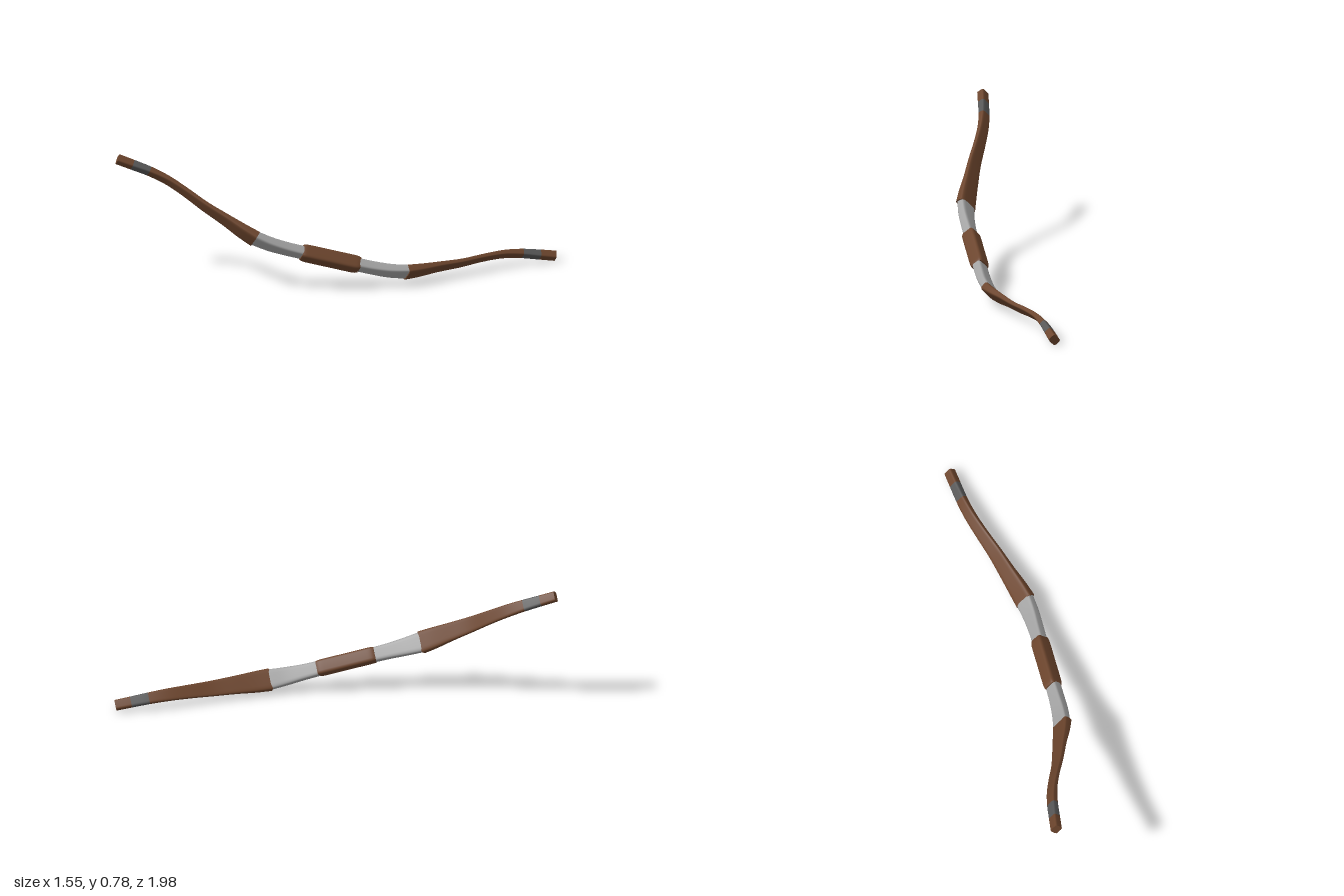
import * as THREE from 'three';

const mat = (name, color) => Object.assign(new THREE.MeshStandardMaterial({ color }), { name });

// Half profiles, mirrored about the grip: [distance along bow, depth, width, thickness]
const LIMB = [
  [0.44, 0.298, 0.125, 0.054], [0.52, 0.267, 0.118, 0.046], [0.62, 0.223, 0.103, 0.034],
  [0.75, 0.168, 0.088, 0.027], [0.87, 0.108, 0.077, 0.027], [0.98, 0.060, 0.070, 0.031],
  [1.08, 0.032, 0.064, 0.038], [1.18, 0.015, 0.059, 0.044], [1.278, 0.0, 0.056, 0.047],
];
const RISER = [
  [0.15, 0.317, 0.080, 0.058], [0.25, 0.316, 0.086, 0.056],
  [0.35, 0.310, 0.100, 0.053], [0.45, 0.293, 0.115, 0.048],
];
const GRIP = [[0, 0.317, 0.086, 0.084], [0.13, 0.317, 0.086, 0.084], [0.155, 0.317, 0.084, 0.08], [0.168, 0.317, 0.078, 0.072]];

// Smooth interpolation of a profile at distance u
function sample(keys, u) {
  const n = keys.length - 1;
  let i = 0;
  while (i < n - 1 && u > keys[i + 1][0]) i++;
  const a = keys[i], b = keys[i + 1], h = b[0] - a[0], t = (u - a[0]) / h;
  const slope = (k, c) => {
    const p = keys[Math.max(k - 1, 0)], q = keys[Math.min(k + 1, n)];
    return (q[c] - p[c]) / (q[0] - p[0]);
  };
  return [1, 2, 3].map((c) =>
    a[c] * (2 * t ** 3 - 3 * t * t + 1) + b[c] * (3 * t * t - 2 * t ** 3) +
    h * (slope(i, c) * (t ** 3 - 2 * t * t + t) + slope(i + 1, c) * (t ** 3 - t * t)));
}

// Loft of rounded rectangular sections from u0 to u1, with flat end caps
function loft(keys, u0, u1, steps) {
  const sides = 32, pos = [], idx = [];
  const pw = (x) => Math.sign(x) * Math.abs(x) ** 0.4;
  const lo = keys[0][0], hi = keys[keys.length - 1][0];
  const at = (u) => sample(keys, Math.min(Math.max(Math.abs(u), lo), hi));
  const ring = (u) => {
    const [v, w, t] = at(u);
    const e = 0.004, s = Math.sign(u) || 1;
    const a = Math.max(Math.abs(u) - e, lo), b = Math.min(Math.abs(u) + e, hi);
    const ang = Math.atan(s * (at(b)[0] - at(a)[0]) / (b - a));
    for (let j = 0; j < sides; j++) {
      const p = (j / sides) * Math.PI * 2;
      const y = pw(Math.cos(p)) * t / 2, z = pw(Math.sin(p)) * w / 2;
      pos.push(u - Math.sin(ang) * y, v + Math.cos(ang) * y, z);
    }
  };
  for (let i = 0; i <= steps; i++) ring(u0 + (u1 - u0) * i / steps);
  for (let i = 0; i < steps; i++) {
    for (let j = 0; j < sides; j++) {
      const a = i * sides + j, b = i * sides + (j + 1) % sides;
      idx.push(a, b, a + sides, b, b + sides, a + sides);
    }
  }
  for (const [u, end] of [[u0, false], [u1, true]]) {
    const base = pos.length / 3;
    ring(u);
    pos.push(u, at(u)[0], 0);
    for (let j = 0; j < sides; j++) {
      const a = base + j, b = base + (j + 1) % sides;
      idx.push(base + sides, end ? a : b, end ? b : a);
    }
  }
  const g = new THREE.BufferGeometry();
  g.setAttribute('position', new THREE.Float32BufferAttribute(pos, 3));
  g.setIndex(idx);
  g.computeVertexNormals();
  return g;
}

export function createModel() {
  const wood = mat('brown wood', 0x6b442c);
  const metal = mat('light grey metal', 0xa2a2a2);
  const binding = mat('dark grey binding', 0x565656);

  const bow = new THREE.Group();
  bow.name = 'bow';
  const add = (name, keys, u0, u1, steps, material) => {
    const m = new THREE.Mesh(loft(keys, u0, u1, steps), material);
    m.name = name;
    bow.add(m);
  };

  add('grip', GRIP, -0.168, 0.168, 48, wood);
  for (const s of [-1, 1]) {
    const side = s < 0 ? 'upper' : 'lower';
    const part = (name, keys, a, b, steps, m) =>
      add(side + name, keys, s < 0 ? -b : a, s < 0 ? -a : b, steps, m);
    part('Riser', RISER, 0.15, 0.45, 14, metal);
    part('Limb', LIMB, 0.44, 1.09, 32, wood);
    part('TipBinding', LIMB, 1.09, 1.19, 6, binding);
    part('Tip', LIMB, 1.19, 1.278, 5, wood);
  }

  // Lay the bow at its resting tilt: along, belly-to-back, and side axes
  const along = new THREE.Vector3(0.585, -0.28, -0.761).normalize();
  const side = along.clone().cross(new THREE.Vector3(0.473, -0.647, 0.599)).normalize();
  const back = side.clone().cross(along);
  bow.quaternion.setFromRotationMatrix(new THREE.Matrix4().makeBasis(along, back, side));
  bow.position.set(0, 0.397, 0);

  const model = new THREE.Group();
  model.name = 'model';
  model.add(bow);
  return model;
}
